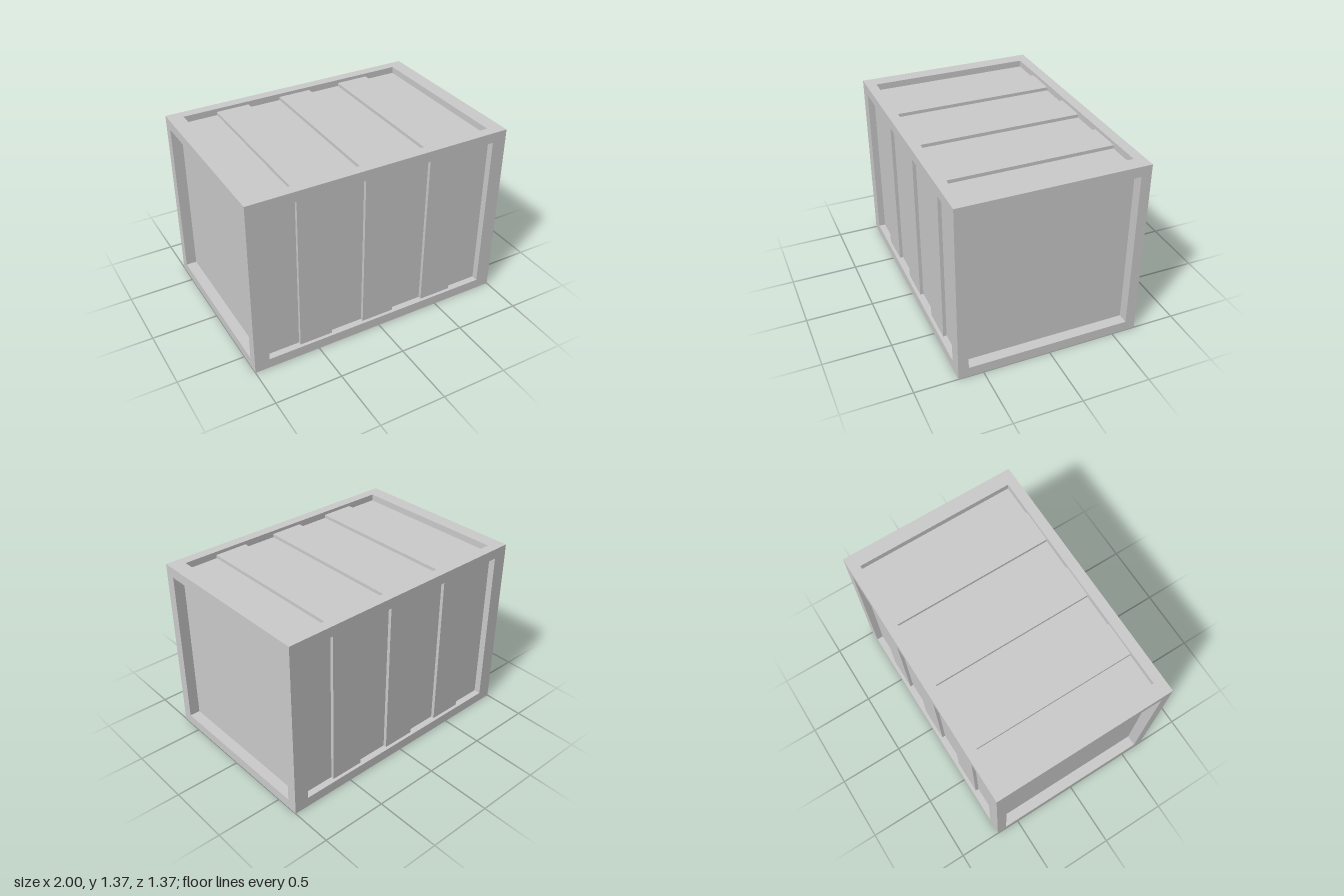
import * as THREE from 'three';

const L = 2, S = 1.365;            // length and square section
const BX = 0.11, B = 0.076;        // frame border along x, and along y and z
const PANEL = 0.05, SLAT = 0.025;  // depth of sunk panels and raised slats
const END = 0.08;                  // depth of the end panels

export function createModel() {
  const model = new THREE.Group();
  const crate = new THREE.Group();
  crate.name = 'crate';
  crate.position.y = S / 2;
  model.add(crate);
  const material = new THREE.MeshStandardMaterial({ color: 0xcccccc, flatShading: true });

  const box = (name, w, h, d, x = 0, y = 0, z = 0, parent = crate) => {
    const mesh = new THREE.Mesh(new THREE.BoxGeometry(w, h, d), material);
    mesh.name = name;
    mesh.position.set(x, y, z);
    parent.add(mesh);
  };

  // Outer frame: four long rails, four posts and four end rails
  const edge = (S - B) / 2, endX = (L - BX) / 2, inner = S - 2 * B;
  for (const a of [-1, 1]) {
    for (const b of [-1, 1]) {
      box('longRail', L, B, B, 0, a * edge, b * edge);
      box('cornerPost', BX, inner, B, a * endX, 0, b * edge);
      box('endRail', BX, B, inner, a * endX, b * edge, 0);
    }
  }

  // Sunk panels on all six sides
  box('innerPanels', L - 2 * END, S - 2 * PANEL, S - 2 * PANEL);

  // Three raised slats on each of the four long sides
  const pitch = (L - 2 * BX) / 7;
  for (let side = 0; side < 4; side++) {
    const slats = new THREE.Group();
    slats.name = 'slats';
    slats.rotation.x = side * Math.PI / 2;
    crate.add(slats);
    for (const i of [-2, 0, 2]) {
      box('slat', pitch, inner, PANEL - SLAT, i * pitch, 0, S / 2 - (PANEL + SLAT) / 2, slats);
    }
  }
  return model;
}
